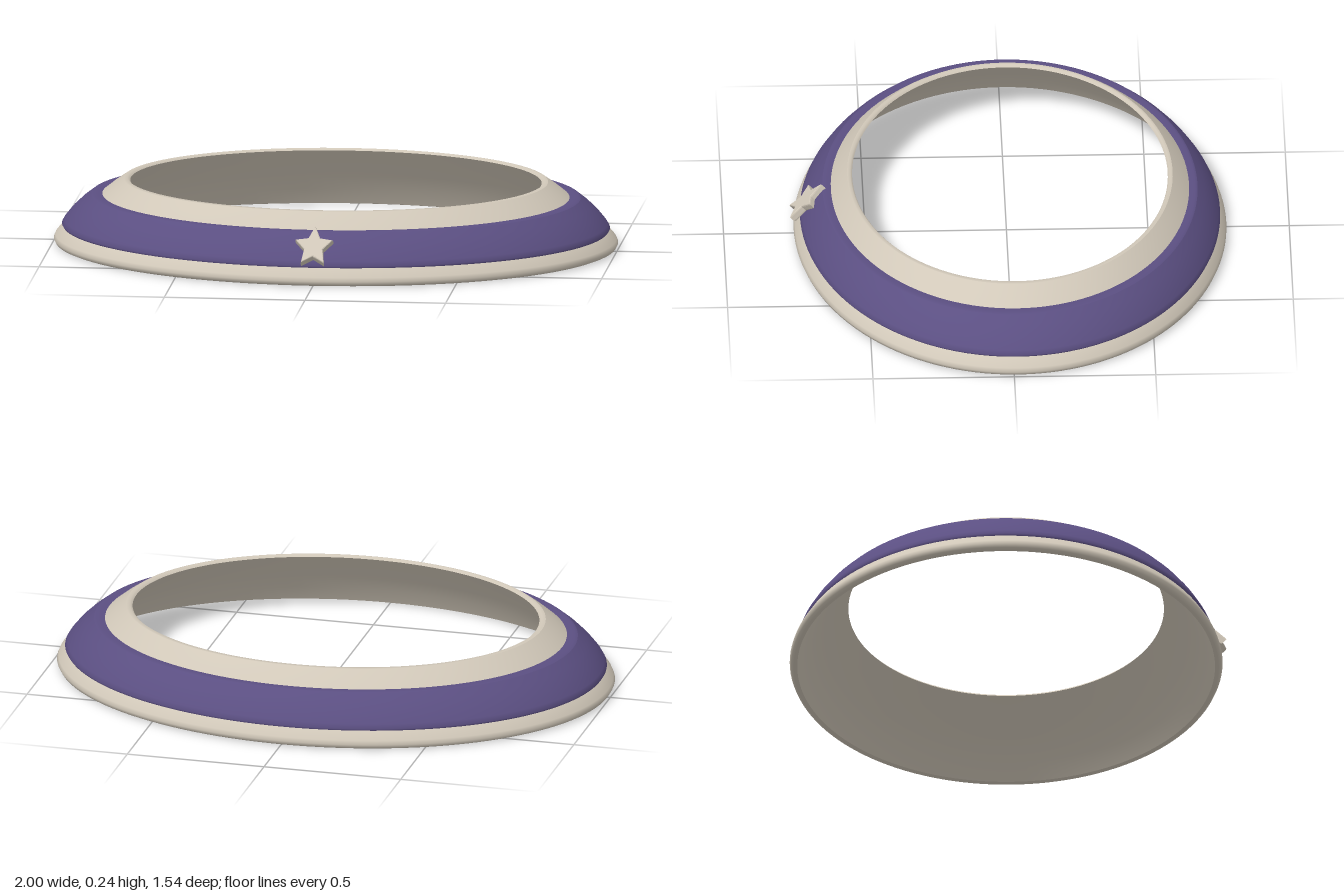
import * as THREE from 'three';
import { mergeGeometries } from 'three/addons/utils/BufferGeometryUtils.js';

const cream = new THREE.MeshStandardMaterial({ color: 0xd1c8b9 });
cream.name = 'cream';
const purple = new THREE.MeshStandardMaterial({ color: 0x5b4f82 });
purple.name = 'purple';

const DEPTH = 0.765;   // ellipse depth relative to width
const CENTRE_Z = -0.0125;

// Elliptical ring from profile strips of [radius, y]; edges between strips stay sharp
function ring(name, material, strips) {
  const parts = strips.map((s) =>
    new THREE.LatheGeometry(s.map(([r, y]) => new THREE.Vector2(r, y)), 128));
  const geometry = mergeGeometries(parts);
  geometry.scale(1, 1, DEPTH);
  const mesh = new THREE.Mesh(geometry, material);
  mesh.name = name;
  mesh.position.z = CENTRE_Z;
  return mesh;
}

// Raised five-pointed star, slightly taller than wide
function star() {
  const shape = new THREE.Shape();
  for (let i = 0; i < 10; i++) {
    const r = i % 2 ? 0.031 : 0.065;
    const a = Math.PI / 2 + (i * Math.PI) / 5;
    const x = r * Math.cos(a), y = r * Math.sin(a) * 1.25;
    if (i) shape.lineTo(x, y); else shape.moveTo(x, y);
  }
  shape.closePath();
  const geometry = new THREE.ExtrudeGeometry(shape, {
    depth: 0.016, bevelThickness: 0.006, bevelSize: 0.004, bevelSegments: 2,
  });
  geometry.translate(0, 0, -0.008);
  const mesh = new THREE.Mesh(geometry, cream);
  mesh.name = 'starBadge';
  mesh.position.set(0, 0.13, 0.708);
  mesh.rotation.x = -Math.PI / 4;
  return mesh;
}

export function createModel() {
  const model = new THREE.Group();
  model.name = 'collar';

  // Thin sloped shell: rolled bottom lip, upper slope, top rim and inner face
  model.add(ring('shell', cream, [
    [[0.965, 0.003], [0.98, 0], [0.993, 0.005], [1, 0.018], [0.994, 0.032], [0.97, 0.06], [0.95, 0.075]],
    [[0.85, 0.16], [0.828, 0.178], [0.79, 0.208], [0.752, 0.234]],
    [[0.752, 0.234], [0.738, 0.236], [0.729, 0.228]],
    [[0.729, 0.228], [0.79, 0.178], [0.86, 0.118], [0.92, 0.06], [0.965, 0.003]],
  ]));

  // Wide convex band standing slightly proud of the shell
  model.add(ring('band', purple, [
    [[0.94, 0.062], [0.966, 0.062]],
    [[0.966, 0.062], [0.971, 0.07], [0.962, 0.086], [0.934, 0.12], [0.9, 0.152], [0.867, 0.177]],
    [[0.867, 0.177], [0.855, 0.181], [0.826, 0.178]],
  ]));

  model.add(star());
  return model;
}
